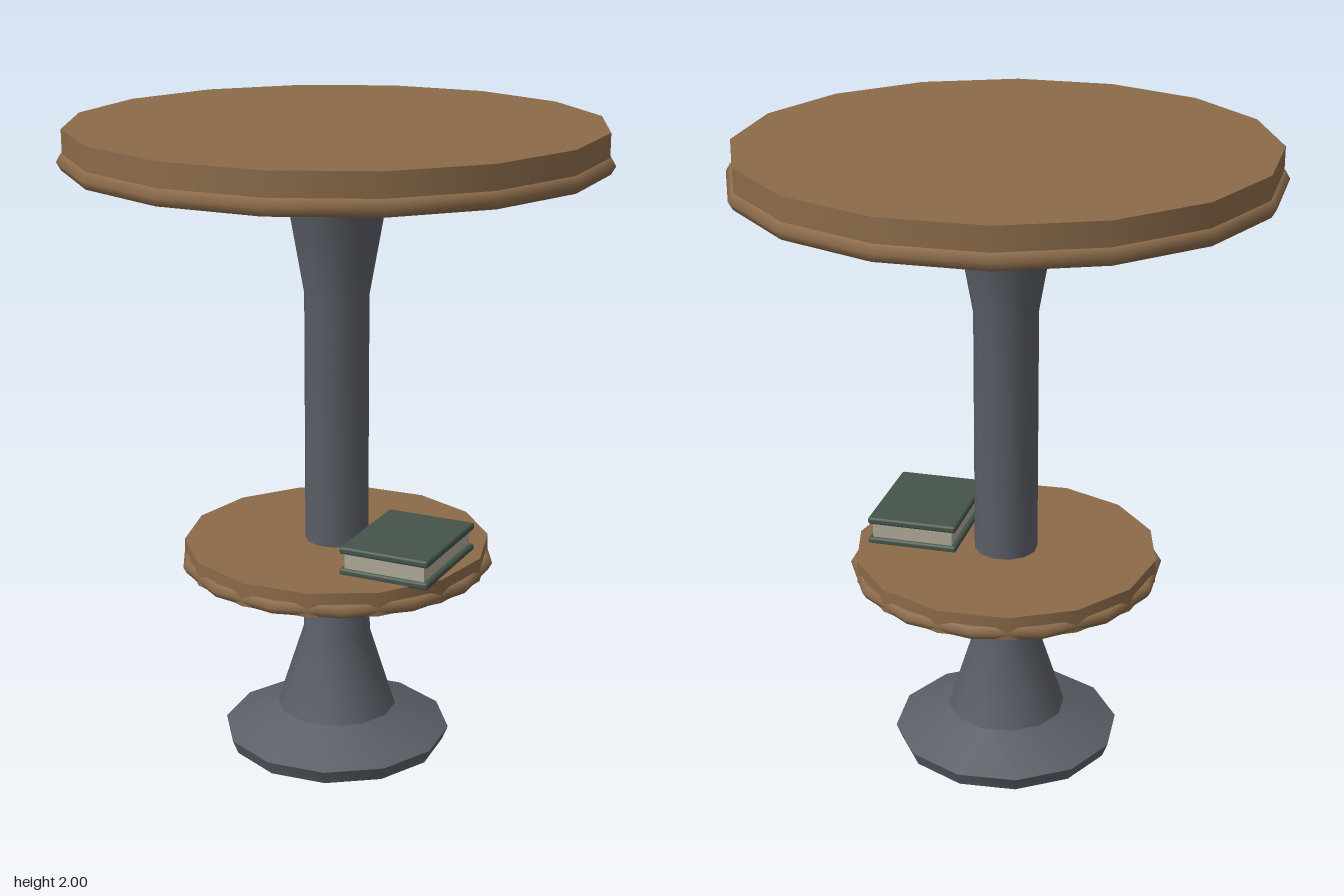
import * as THREE from 'three';
import { toCreasedNormals } from 'three/addons/utils/BufferGeometryUtils.js';
import { RoundedBoxGeometry } from 'three/addons/geometries/RoundedBoxGeometry.js';

const material = (color) => new THREE.MeshStandardMaterial({ color });
const wood = material(0x8b6b4a);
const metal = material(0x5a5e66);
const cover = material(0x44544a);
const paper = material(0xb0a898);

function addPart(parent, name, geometry, mat, x = 0, y = 0, z = 0) {
  const mesh = new THREE.Mesh(geometry, mat);
  mesh.name = name;
  mesh.position.set(x, y, z);
  parent.add(mesh);
  return mesh;
}

// Round wooden board with a moulded rim around its lower edge
function addBoard(parent, name, { radius, bottom, top, sides, rimRadius, rimTube, rimY }) {
  const board = new THREE.Group();
  board.name = name;
  const height = top - bottom;
  addPart(board, name + 'Slab', new THREE.CylinderGeometry(radius, radius, height, sides), wood, 0, bottom + height / 2);
  const rim = new THREE.TorusGeometry(rimRadius, rimTube, 6, sides).rotateX(-Math.PI / 2);
  addPart(board, name + 'Rim', rim, wood, 0, rimY);
  parent.add(board);
}

export function createModel() {
  const model = new THREE.Group();
  model.name = 'pedestalTable';

  // Turned pedestal: splayed foot, slim column, flared head
  const profile = [
    [0, 0], [0.345, 0], [0.363, 0.045], [0.19, 0.12], [0.107, 0.38],
    [0.1, 0.66], [0.1, 1.48], [0.16, 1.82], [0.187, 1.89], [0, 1.89],
  ].map(([r, y]) => new THREE.Vector2(r, y));
  addPart(model, 'pedestal', toCreasedNormals(new THREE.LatheGeometry(profile, 12), 0.6), metal);

  addBoard(model, 'tableTop', {
    radius: 0.81, bottom: 1.88, top: 2, sides: 16, rimRadius: 0.8, rimTube: 0.028, rimY: 1.904,
  });
  addBoard(model, 'shelf', {
    radius: 0.48, bottom: 0.615, top: 0.69, sides: 14, rimRadius: 0.473, rimTube: 0.022, rimY: 0.635,
  });

  // Closed book lying on the shelf
  const book = new THREE.Group();
  book.name = 'book';
  book.position.set(0.3, 0.685, 0.042);
  book.rotation.y = 0.185;
  const board = new RoundedBoxGeometry(0.29, 0.023, 0.375, 1, 0.008);
  addPart(book, 'lowerCover', board, cover, 0, 0.0115);
  addPart(book, 'pages', new THREE.BoxGeometry(0.26, 0.06, 0.355), paper, 0, 0.047);
  addPart(book, 'upperCover', board, cover, 0, 0.081);
  model.add(book);

  return model;
}
